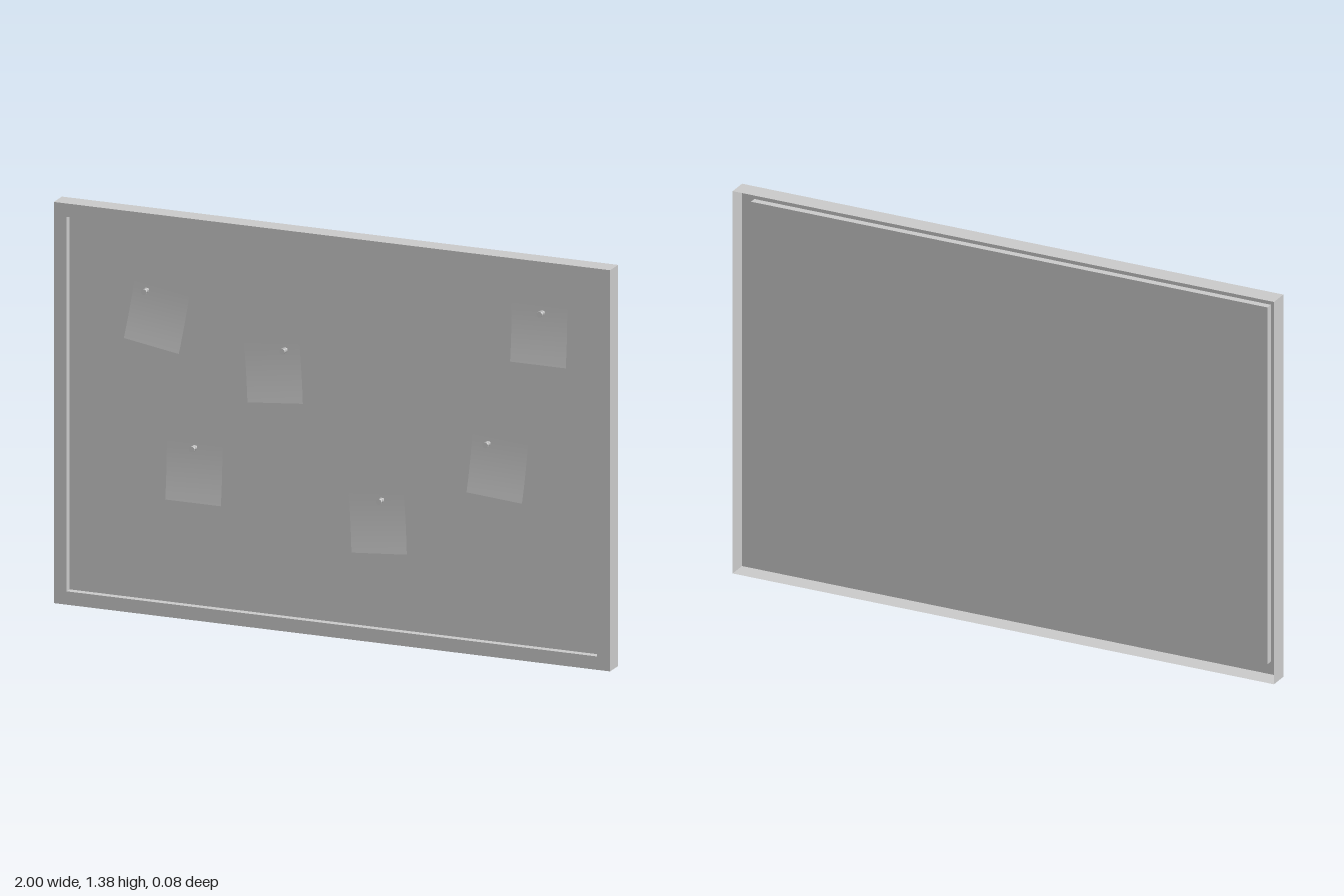
import * as THREE from 'three';

const H = 1.38, BACK = -0.039, FRONT = 0.029, BOARD = 0.004;
const material = new THREE.MeshStandardMaterial({ color: 0xcccccc, side: THREE.DoubleSide });

function add(parent, name, geometry) {
  const mesh = new THREE.Mesh(geometry, material);
  mesh.name = name;
  parent.add(mesh);
  return mesh;
}

// Rectangle of four corners, inset from the outline, at depth z
function corners(inset, z) {
  const x = 1 - inset, lo = inset, hi = H - inset;
  return [[-x, lo, z], [x, lo, z], [x, hi, z], [-x, hi, z]];
}

// Flat-sided band joining two rectangles
function band(a, b) {
  const pos = [];
  for (let i = 0; i < 4; i++) {
    const j = (i + 1) % 4;
    pos.push(...a[i], ...a[j], ...b[j], ...a[i], ...b[j], ...b[i]);
  }
  const g = new THREE.BufferGeometry();
  g.setAttribute('position', new THREE.Float32BufferAttribute(pos, 3));
  g.computeVertexNormals();
  return g;
}

// Square paper pinned at the top, its lower edge curling away from the board
function noteGeometry() {
  const g = new THREE.PlaneGeometry(0.2, 0.2, 1, 8).translate(0, 0.1, 0);
  const p = g.attributes.position;
  for (let i = 0; i < p.count; i++) {
    const t = 1 - p.getY(i) / 0.2;
    p.setZ(i, 0.001 + 0.013 * t * t);
  }
  g.computeVertexNormals();
  return g;
}

// Spool-shaped push pin pointing out along z
function pinGeometry() {
  const profile = [[0, 0], [0.005, 0], [0.005, 0.012], [0.009, 0.012], [0.009, 0.016],
    [0.006, 0.018], [0.006, 0.028], [0.01, 0.03], [0.01, 0.035], [0, 0.035]];
  const points = profile.map(([r, y]) => new THREE.Vector2(r, y));
  const g = new THREE.LatheGeometry(points, 16).rotateX(Math.PI / 2).toNonIndexed();
  g.computeVertexNormals();
  return g;
}

export function createModel() {
  const model = new THREE.Group();
  model.name = 'noticeBoard';

  // Open-backed frame: outer walls, front lip and the step down to the board
  const frame = new THREE.Group();
  frame.name = 'frame';
  model.add(frame);
  const inset = 0.046;
  add(frame, 'outerWalls', band(corners(0, BACK), corners(0, FRONT)));
  add(frame, 'frontLip', band(corners(0, FRONT), corners(inset, FRONT)));
  add(frame, 'innerStep', band(corners(inset, FRONT), corners(inset, BOARD)));

  // Recessed pinning surface
  add(model, 'board', new THREE.PlaneGeometry(2 - 2 * inset, H - 2 * inset))
    .position.set(0, H / 2, BOARD);

  // Notes: bottom middle x, y, tilt in degrees, then pin x, y
  const notes = [
    [-0.654, 0.922, -9.2, -0.673, 1.111],
    [-0.209, 0.778, 5.2, -0.175, 0.964],
    [0.736, 1.02, 0, 0.75, 1.2],
    [0.579, 0.544, -4.6, 0.555, 0.728],
    [-0.504, 0.4, 0, -0.5, 0.59],
    [0.165, 0.304, 4.6, 0.172, 0.488],
  ];
  const paper = noteGeometry(), pin = pinGeometry();
  for (const [x, y, tilt, px, py] of notes) {
    const note = add(model, 'note', paper);
    note.position.set(x, y, BOARD);
    note.rotation.z = THREE.MathUtils.degToRad(tilt);
    add(model, 'pushPin', pin).position.set(px, py, BOARD);
  }
  return model;
}
